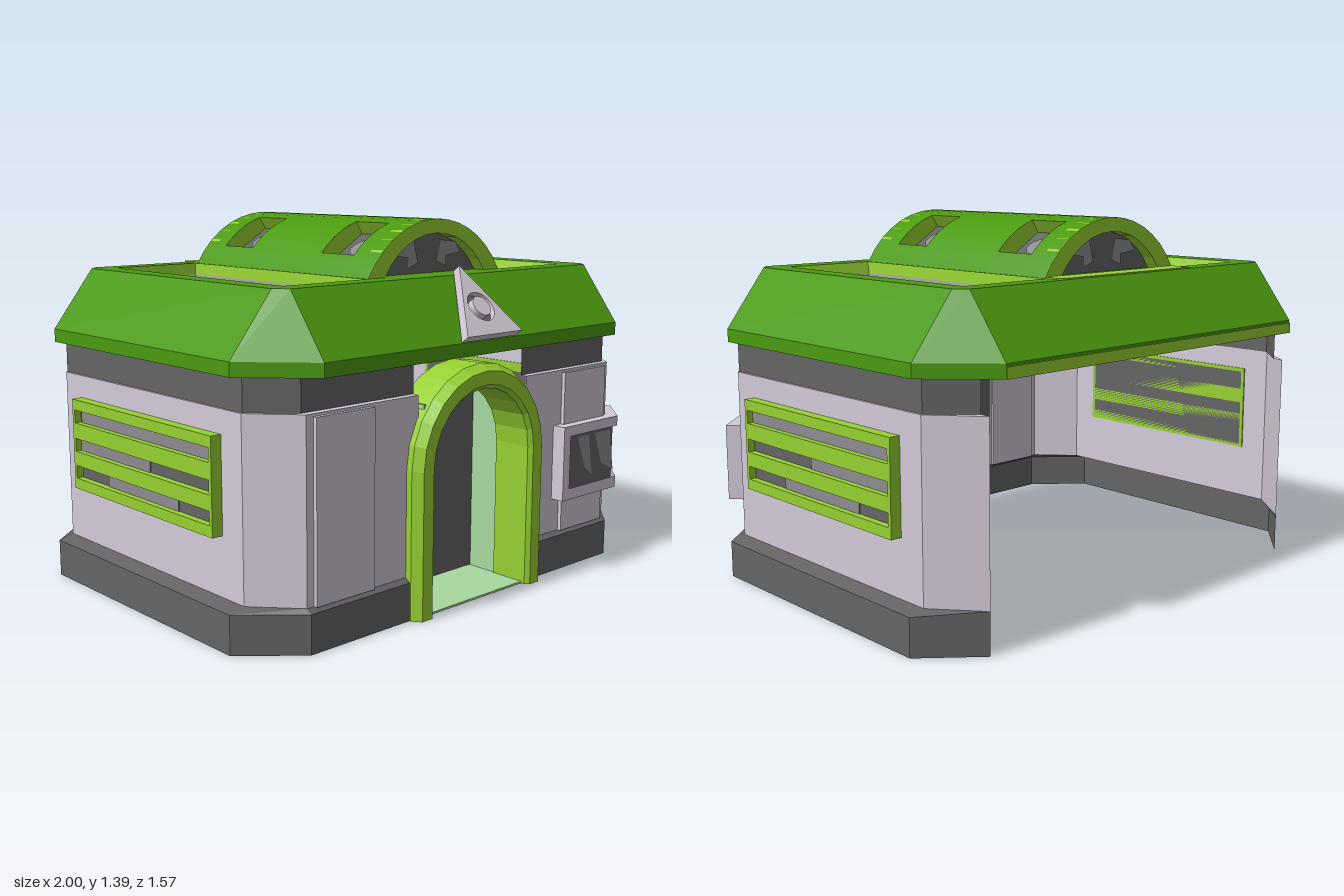
import * as THREE from 'three';
import { mergeVertices } from 'three/addons/utils/BufferGeometryUtils.js';

const paint = (name, color) => new THREE.MeshStandardMaterial({ name, color, side: THREE.DoubleSide });

export function createModel() {
  const green = paint('roof green', 0x4b9a0f);
  const lime = paint('lime trim', 0x96d032);
  const light = paint('pale wall', 0xd3cad8);
  const dark = paint('dark grey', 0x646464);
  const mid = paint('mid grey', 0x8e8c90);
  const mint = paint('pale mint', 0xa8d8a0);

  const model = new THREE.Group();
  const add = (name, geometry, material, parent = model) => {
    const mesh = new THREE.Mesh(geometry, material);
    mesh.name = name;
    parent.add(mesh);
    return mesh;
  };
  const box = (name, x0, x1, y0, y1, z0, z1, material, parent) =>
    add(name, new THREE.BoxGeometry(x1 - x0, y1 - y0, z1 - z0)
      .translate((x0 + x1) / 2, (y0 + y1) / 2, (z0 + z1) / 2), material, parent);

  // Skin between rows of [x, y, z] points, with optional skipped cells
  const skin = (rows, { closed = false, smooth = false, skip = () => false } = {}) => {
    const pos = [];
    for (let i = 0; i < rows.length - 1; i++) {
      const n = rows[i].length;
      for (let j = 0; j < (closed ? n : n - 1); j++) {
        if (skip(i, j)) continue;
        const k = (j + 1) % n;
        const [a, b, c, d] = [rows[i][j], rows[i][k], rows[i + 1][k], rows[i + 1][j]];
        pos.push(...a, ...b, ...c, ...a, ...c, ...d);
      }
    }
    let g = new THREE.BufferGeometry();
    g.setAttribute('position', new THREE.Float32BufferAttribute(pos, 3));
    if (smooth) g = mergeVertices(g);
    g.computeVertexNormals();
    return g;
  };
  const poly = (pts) => new THREE.Shape(pts.map(([x, y]) => new THREE.Vector2(x, y)));

  // Walls: three bands on each side, open at the doorway and the back
  const wallRow = (s) => ([y, x, zf, zb]) => {
    const row = [[0.29, y, zf], [0.8, y, zf], [x, y, 0.535], [x, y, -0.565], [0.8, y, zb]];
    const pts = row.map(([px, py, pz]) => [px * s, py, pz]);
    return s > 0 ? pts : pts.reverse();
  };
  for (const s of [1, -1]) {
    const band = (name, rows, m) => add(name, skin(rows.map(wallRow(s))), m);
    band('basePlinth', [[0, 1, 0.71, -0.735], [0.14, 1, 0.71, -0.735], [0.155, 0.94, 0.69, -0.735]], dark);
    band('wall', [[0.155, 0.94, 0.69, -0.735], [0.8, 0.94, 0.69, -0.735], [0.801, 0.935, 0.665, -0.695]], light);
    band('upperBand', [[0.8, 0.935, 0.665, -0.695], [0.92, 0.935, 0.665, -0.695]], dark);
    box('wallPanel', s * 0.64 - 0.13, s * 0.64 + 0.13, 0.155, 0.79, 0.68, 0.705, light);

    // Side vent: lime grille over a dark panel
    const vent = new THREE.Group();
    vent.name = 'sideVent';
    model.add(vent);
    const vx = (a, b) => (s > 0 ? [a, b] : [-b, -a]);
    const [o0, o1] = vx(0.935, 0.982), [g0, g1] = vx(0.935, 0.955), [h0, h1] = vx(0.955, 0.959);
    for (const [a, b] of [[0.37, 0.41], [0.46, 0.515], [0.565, 0.625], [0.675, 0.715]])
      box('ventBar', o0, o1, a, b, -0.455, 0.425, lime, vent);
    for (const z of [-0.455, 0.41]) box('ventEnd', o0, o1, 0.37, 0.715, z, z + 0.015, lime, vent);
    box('ventGlass', g0, g1, 0.38, 0.7, -0.44, 0.41, dark, vent);
    box('ventShine', h0, h1, 0.625, 0.675, -0.43, 0.41, mid, vent);
    box('ventShine', h0, h1, 0.515, 0.565, -0.44, 0.03, mid, vent);
    box('ventShine', h0, h1, 0.41, 0.45, -0.25, 0.2, mid, vent);
  }

  // Roof: chamfered hip with a short lip at the eave
  const ring = (y, x, x0, zf, zfc, zb, zbc) => [
    [x0, y, zf], [x, y, zfc], [x, y, zbc], [x0, y, zb],
    [-x0, y, zb], [-x, y, zbc], [-x, y, zfc], [-x0, y, zf]];
  const eave = ring(0.92, 0.98, 0.77, 0.745, 0.53, -0.78, -0.57);
  const lip = ring(0.97, 0.98, 0.77, 0.745, 0.53, -0.78, -0.57);
  const crown = ring(1.19, 0.81, 0.77, 0.58, 0.535, -0.61, -0.57);
  add('roofSlopes', skin([eave, lip, crown], { closed: true }), green);
  add('ceiling', new THREE.ShapeGeometry(poly(eave.map(([x, , z]) => [x, z])))
    .rotateX(Math.PI / 2).translate(0, 0.92, 0), lime);
  box('backEaveTrim', -0.77, 0.77, 0.92, 0.96, -0.785, -0.779, lime);

  // Flat roof top with two sunken trays
  const rect = (x0, x1, z0, z1, y) => [[x0, y, z1], [x1, y, z1], [x1, y, z0], [x0, y, z0]];
  const top = poly(crown.map(([x, , z]) => [x, -z]));
  for (const s of [1, -1]) {
    const side = (a, b) => (s > 0 ? [a, b] : [-b, -a]);
    const rim = rect(...side(0.35, 0.725), -0.53, 0.49, 1.19);
    const step = rect(...side(0.355, 0.71), -0.525, 0.475, 1.145);
    const floor = rect(...side(0.395, 0.675), -0.48, 0.43, 1.09);
    top.holes.push(new THREE.Path(rim.map(([x, , z]) => new THREE.Vector2(x, -z))));
    add('trayTrim', skin([step, rim].reverse(), { closed: true }), lime);
    add('trayBevel', skin([step, floor], { closed: true }), mid);
    add('trayFloor', new THREE.PlaneGeometry(0.28, 0.91).rotateX(-Math.PI / 2)
      .translate(s * 0.535, 1.09, -0.025), light);
  }
  add('roofTop', new THREE.ShapeGeometry(top).rotateX(-Math.PI / 2).translate(0, 1.19, 0), green);
  box('backRoofStrip', -0.345, 0.345, 1.19, 1.195, -0.61, -0.525, lime);

  // Barrel vault with four skylight openings
  const R = 0.398, CY = 0.992, END = Math.acos(0.198 / R);
  const rad = Math.PI / 180, A0 = 16.8 * rad, A1 = 46.8 * rad;
  const stops = [-END, -A1, -A0, A0, A1, END], angles = [];
  stops.slice(0, -1).forEach((a, i) => {
    for (let k = 0; k < 5; k++) angles.push(a + (stops[i + 1] - a) * k / 5);
  });
  angles.push(END);
  const zs = [0.49, 0.36, 0.185, -0.225, -0.4, -0.52];
  const vaultRows = zs.map((z) => angles.map((a) => [R * Math.sin(a), CY + R * Math.cos(a), z]));
  const inWindow = (i, j) => (i === 1 || i === 3) && [1, 3].includes(Math.floor(j / 5));
  add('vault', skin(vaultRows, { smooth: true, skip: inWindow }), green);

  // Sunken skylights
  const half = R * Math.sin(15 * rad);
  for (const s of [1, -1]) for (const z of [0.2725, -0.3125]) {
    const g = new THREE.Group();
    g.name = 'skylight';
    g.position.set(0, CY, z);
    g.rotation.z = -s * (A0 + A1) / 2;
    model.add(g);
    const edge = [];
    for (const d of [1, -1]) for (let k = 0; k <= 6; k++) {
      const x = d * half * (k / 3 - 1);
      edge.push([x, Math.sqrt(R * R - x * x), d * 0.0875]);
    }
    add('skylightFrame', skin([edge.map(([x, , ez]) => [x, 0.33, ez]), edge], { closed: true }), lime, g);
    add('skylightGlass', new THREE.PlaneGeometry(half * 2, 0.175).rotateX(-Math.PI / 2).translate(0, 0.33, 0), dark, g);
    add('skylightShine', new THREE.CircleGeometry(0.05, 10).rotateX(-Math.PI / 2)
      .scale(1, 1, 1.2).translate(-s * 0.015, 0.333, 0), mid, g);
  }

  // Vault end rims and windows
  const arc = (w, h, n) => Array.from({ length: n + 1 }, (_, i) => {
    const r = (w * w + h * h) / (2 * h), t = Math.asin(w / r) * (2 * i / n - 1);
    return [r * Math.sin(t), 1.19 + h - r + r * Math.cos(t)];
  });
  const rimShape = poly([...arc(0.345, 0.2, 14), ...arc(0.262, 0.148, 12).reverse()]);
  for (const [z, d] of [[0.492, 1], [-0.522, -1]]) {
    add('vaultRim', new THREE.ExtrudeGeometry(rimShape, { depth: 0.06, bevelEnabled: false })
      .translate(0, 0, d > 0 ? z - 0.06 : z), lime);
    add('vaultWindow', new THREE.ShapeGeometry(poly(arc(0.28, 0.16, 12))).translate(0, 0, z - d * 0.05), dark);
    for (const s of [1, -1])
      add('windowShine', new THREE.ShapeGeometry(poly([[0.05, 1.23], [0.1, 1.21], [0.1, 1.25], [0.18, 1.26],
        [0.15, 1.3], [0.07, 1.31]].map(([x, y]) => [s * x, y]))).translate(0, 0, z - d * 0.046), mid);
  }

  // Doorway: arch, recessed door, jambs and floor
  const archLine = (w, n) => {
    const pts = [[w, 0]];
    for (let i = 0; i <= n; i++) pts.push([w * Math.cos(Math.PI * i / n), 0.54 + w * Math.sin(Math.PI * i / n)]);
    return [...pts, [-w, 0]];
  };
  const archRow = (w, z) => archLine(w, 12).map(([x, y]) => [x, y, z]);
  add('doorArch', skin([archRow(0.345, 0.58), archRow(0.345, 0.715), archRow(0.32, 0.75), archRow(0.27, 0.75),
    archRow(0.255, 0.735), archRow(0.255, 0.58), archRow(0.345, 0.58)].reverse()), lime);
  box('door', -0.27, 0.27, 0, 0.765, 0.44, 0.45, dark);
  for (const s of [1, -1]) box('doorJamb', s * 0.268 - 0.004, s * 0.268 + 0.004, 0, 0.765, 0.45, 0.7, mint);
  box('doorFloor', -0.26, 0.26, 0, 0.008, 0.45, 0.72, mint);

  // Corner window: bent frame around a dark pane
  const bend = [[0.465, 0.69], [0.465, 0.745], [0.81, 0.745], [0.965, 0.6], [0.925, 0.555]];
  const strip = (pts, y0, y1) => skin([y0, y1].map((y) => pts.map(([x, z]) => [x, y, z])));
  const bay = new THREE.Group();
  bay.name = 'cornerWindow';
  model.add(bay);
  add('frameBottom', strip(bend, 0.29, 0.335), light, bay);
  add('frameTop', strip(bend, 0.545, 0.585), light, bay);
  add('frameEnd', strip([bend[0], bend[1], [0.505, 0.745]], 0.335, 0.545), light, bay);
  add('frameEnd', strip([[0.92, 0.642], bend[3], bend[4]], 0.335, 0.545), light, bay);
  const cap = [...bend, [0.8, 0.68]];
  for (const y of [0.29, 0.585])
    add('frameCap', new THREE.ShapeGeometry(poly(cap.map(([x, z]) => [x, -z]))).rotateX(-Math.PI / 2).translate(0, y, 0), light, bay);
  add('pane', strip([[0.48, 0.728], [0.803, 0.728], [0.945, 0.595]], 0.3, 0.575), dark, bay);
  for (const [x, w] of [[0.57, 0.07], [0.68, 0.1]])
    add('paneShine', new THREE.ShapeGeometry(poly([[x, 0.53], [x + w, 0.53], [x + w + 0.03, 0.36], [x + 0.05, 0.4]]))
      .translate(0, 0, 0.731), mid, bay);

  // Triangular roof ornament with a round boss
  const ornament = new THREE.Group();
  ornament.name = 'roofOrnament';
  ornament.position.set(0, 0.975, 0.755);
  ornament.rotation.x = -0.66;
  model.add(ornament);
  const plate = poly([[-0.145, 0], [0.145, 0], [0, 0.29]]);
  plate.holes.push(new THREE.Path().absarc(0, 0.115, 0.06, 0, Math.PI * 2, true));
  add('trianglePlate', new THREE.ExtrudeGeometry(plate, { depth: 0.035, bevelEnabled: false }), light, ornament);
  add('plateBacking', new THREE.CircleGeometry(0.062, 20).translate(0, 0.115, 0.012), dark, ornament);
  add('roundBoss', new THREE.CylinderGeometry(0.04, 0.04, 0.03, 20).rotateX(Math.PI / 2).translate(0, 0.115, 0.025), light, ornament);

  return model;
}
